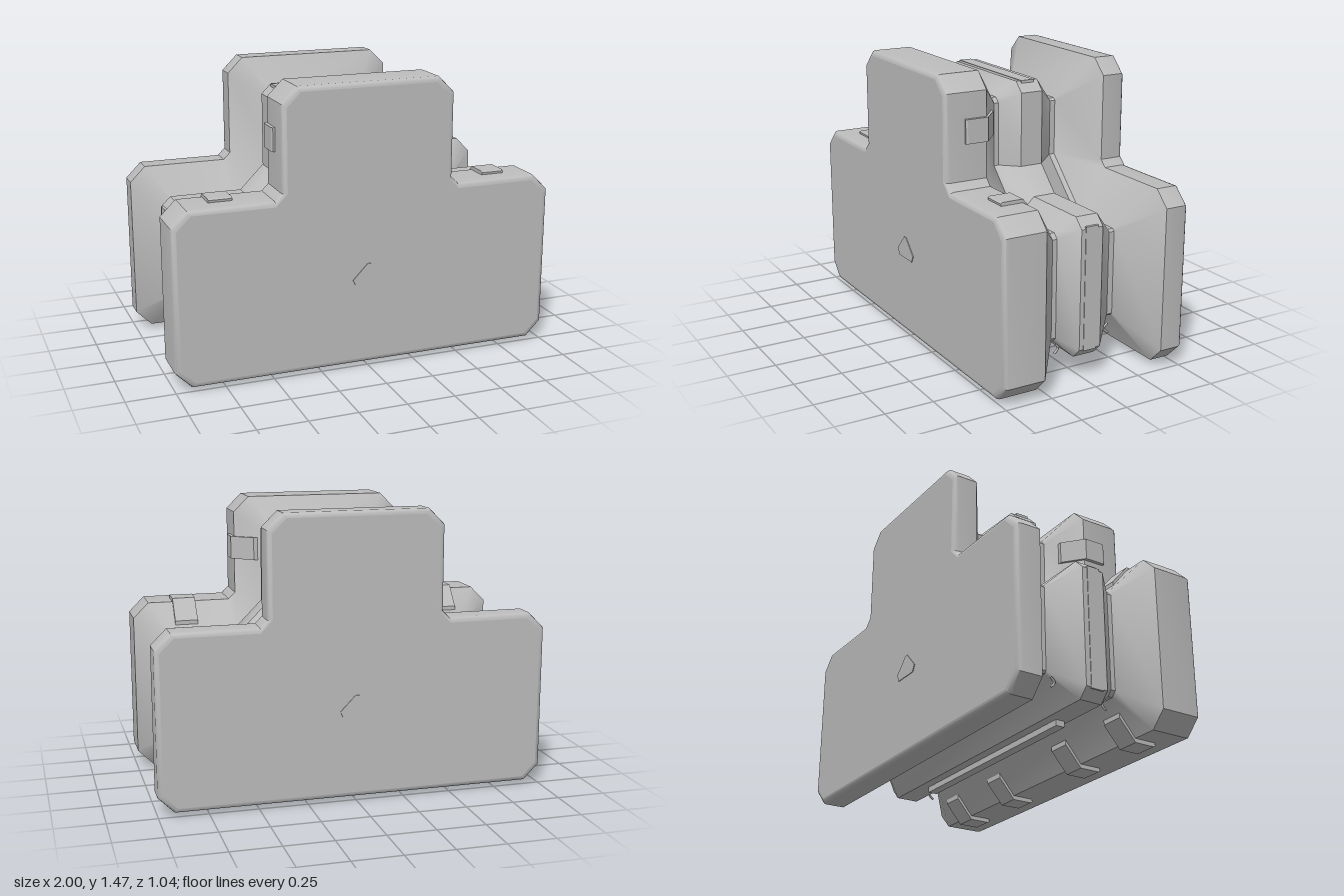
import * as THREE from 'three';
import { toCreasedNormals } from 'three/addons/utils/BufferGeometryUtils.js';

// Inverted-T outline, anticlockwise, with every side moved inwards by d
function outline(d) {
  const c = Math.max(0.012, 0.08 - 0.32 * d); // corner chamfer
  const x = 1 - d, n = 0.45 - d, bottom = 0.025 + d, shoulder = 0.92 - d, top = 1.47 - d;
  const half = [
    [x - c, bottom], [x, bottom + c], [x, shoulder - c], [x - c, shoulder],
    [0.485, shoulder], [n, 0.955], [n, top - c], [n - c, top],
  ];
  const mirrored = half.map(([px, py]) => [-px, py]).reverse();
  return [...half, ...mirrored];
}

// Depth stations: [z, inset]
const stations = [
  [0.515, 0.025], [0.5117, 0.0125], [0.5025, 0.0033], [0.49, 0], [0.29, 0],
  [0.15, 0.17], [0.125, 0.17], [0.04, 0.09], [-0.08, 0.09], [-0.21, 0.22], [-0.24, 0.22],
  [-0.385, 0], [-0.49, 0], [-0.5025, 0.0033], [-0.5117, 0.0125], [-0.515, 0.025],
];

function bodyGeometry() {
  const rings = stations.map(([z, d]) => outline(d).map(([x, y]) => [x, y, z]));
  const count = rings[0].length;
  const index = [];
  for (let i = 0; i < rings.length - 1; i++) {
    for (let j = 0; j < count; j++) {
      const k = (j + 1) % count;
      const a = i * count + j, b = i * count + k;
      index.push(a, a + count, b, b, a + count, b + count);
    }
  }
  const g = new THREE.BufferGeometry();
  g.setAttribute('position', new THREE.Float32BufferAttribute(rings.flat(2), 3));
  g.setIndex(index);
  return toCreasedNormals(g, 0.6);
}

const shapeOf = (points) => new THREE.Shape(points.map(([x, y]) => new THREE.Vector2(x, y)));

export function createModel() {
  const group = new THREE.Group();
  const grey = new THREE.MeshStandardMaterial({ color: 0xbcbcbc });
  grey.name = 'plain grey';

  function add(name, geometry, x = 0, y = 0, z = 0) {
    const mesh = new THREE.Mesh(geometry, grey);
    mesh.name = name;
    mesh.position.set(x, y, z);
    group.add(mesh);
    return mesh;
  }
  const box = (name, w, h, d, x, y, z) => add(name, new THREE.BoxGeometry(w, h, d), x, y, z);

  // Grooved body and its flat ends
  add('body', bodyGeometry());
  const cap = new THREE.ShapeGeometry(shapeOf(outline(0.025)));
  add('frontFace', cap, 0, 0, 0.515);
  add('backFace', cap, 0, 0, -0.515).rotation.y = Math.PI;

  // Bent clips hugging the front half; profile is (z, height above the surface)
  const clipShape = shapeOf([
    [0.405, -0.01], [0.41, 0.012], [0.4, 0.018], [0.29, 0.018],
    [0.2, -0.088], [0.2, -0.12], [0.285, -0.01],
  ]);
  const clip = new THREE.ExtrudeGeometry(clipShape, { depth: 0.12, bevelEnabled: false });
  clip.translate(0, 0, -0.06);
  clip.rotateY(-Math.PI / 2);
  for (const s of [1, -1]) {
    add('shoulderClip', clip, s * 0.73, 0.92, 0);
    add('columnClip', clip, s * 0.45, 1.2, 0).rotation.z = -s * Math.PI / 2;
    for (const x of [0.3, 0.73]) add('bottomClip', clip, s * x, 0.022, 0).rotation.z = Math.PI;
  }

  // Narrow strips along the middle ridge
  box('topStrip', 0.64, 0.03, 0.07, 0, 1.368, -0.018);
  for (const s of [1, -1]) box('sideStrip', 0.03, 0.63, 0.07, s * 0.898, 0.475, -0.018);
  box('bottomRail', 1.2, 0.04, 0.05, 0, 0.105, -0.005);

  // Small curled hooks under the grooves
  for (const s of [1, -1]) {
    for (const [z, y, dir] of [[0.1, 0.155, -1], [-0.19, 0.2, 1]]) {
      const path = new THREE.CatmullRomCurve3([
        new THREE.Vector3(0, 0.02, -dir * 0.01), new THREE.Vector3(0, 0, dir * 0.01),
        new THREE.Vector3(0, -0.02, 0), new THREE.Vector3(0, -0.03, -dir * 0.015),
      ]);
      add('hook', new THREE.TubeGeometry(path, 10, 0.006, 6), s * 0.8, y, z);
    }
  }

  // Plain raised plates on the two ends
  const plateShape = shapeOf([
    [-0.07, 0.44], [0.07, 0.44], [0.088, 0.475], [0.01, 0.555], [-0.01, 0.555], [-0.088, 0.475],
  ]);
  const plate = new THREE.ExtrudeGeometry(plateShape, { depth: 0.005, bevelEnabled: false });
  add('frontPlate', plate, 0, 0, 0.514);
  add('backPlate', plate, 0, 0, -0.514).rotation.y = Math.PI;

  return group;
}
